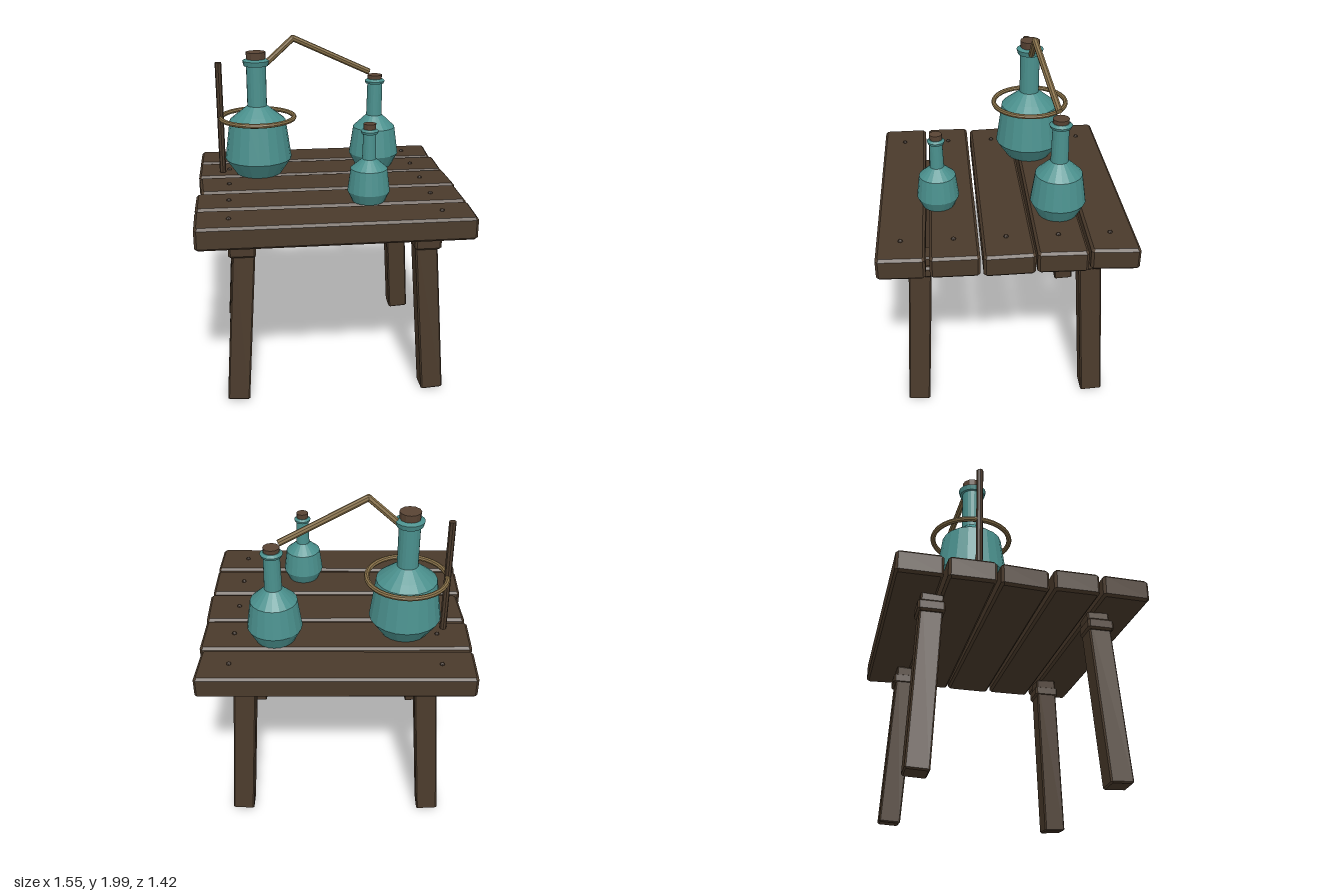
import * as THREE from 'three';

const material = (name, color, flatShading = true) =>
  Object.assign(new THREE.MeshStandardMaterial({ color, flatShading }), { name });

export function createModel() {
  const model = new THREE.Group();
  model.name = 'alchemyTable';
  const wood = material('dark wood', 0x4a3a2b);
  const glass = material('teal glass', 0x4a908d);
  const brass = material('brass', 0x877048);
  const cork = material('cork', 0x594434);
  const iron = material('dark iron', 0x3e3127);

  const add = (name, geometry, mat, x = 0, y = 0, z = 0, parent = model) => {
    const mesh = new THREE.Mesh(geometry, mat);
    mesh.name = name;
    mesh.position.set(x, y, z);
    parent.add(mesh);
    return mesh;
  };

  // Bevelled slab standing on y = 0, from four [x, z] corners with clipped tips
  const slab = (corners, height, bevel) => {
    const points = [];
    corners.forEach((corner, i) => {
      const p = new THREE.Vector2(corner[0], -corner[1]);
      for (const j of [(i + 3) % 4, (i + 1) % 4]) {
        const toward = new THREE.Vector2(corners[j][0], -corners[j][1]).sub(p).setLength(bevel);
        points.push(p.clone().add(toward));
      }
    });
    return new THREE.ExtrudeGeometry(new THREE.Shape(points), {
      depth: height - 2 * bevel, bevelEnabled: true, bevelThickness: bevel,
      bevelSize: bevel, bevelOffset: -bevel, bevelSegments: 1,
    }).translate(0, 0, bevel).rotateX(-Math.PI / 2);
  };
  const square = (w) => [[-w / 2, -w / 2], [w / 2, -w / 2], [w / 2, w / 2], [-w / 2, w / 2]];

  // Uneven table planks, each with two nails
  const planks = [
    [[-0.775, -0.705], [0.765, -0.712], [0.75, -0.445], [-0.775, -0.447]],
    [[-0.775, -0.425], [0.767, -0.432], [0.76, -0.155], [-0.775, -0.16]],
    [[-0.768, -0.137], [0.765, -0.147], [0.772, 0.134], [-0.75, 0.136]],
    [[-0.775, 0.157], [0.763, 0.15], [0.763, 0.42], [-0.775, 0.417]],
    [[-0.775, 0.437], [0.765, 0.441], [0.757, 0.705], [-0.77, 0.707]],
  ];
  const nail = new THREE.SphereGeometry(0.014, 8, 4, 0, Math.PI * 2, 0, Math.PI / 2);
  planks.forEach((corners, i) => {
    add('plank', slab(corners, 0.13, 0.014), wood, 0, 1.017, 0);
    for (const x of [-0.587, 0.583]) add('nail', nail, iron, x, 1.146, (i - 2) * 0.287);
  });

  // Splayed legs with a collar near the top
  for (const sx of [-1, 1]) {
    for (const sz of [-1, 1]) {
      const bottom = new THREE.Vector3(sx * 0.573, 0.012, sz * 0.527);
      const top = new THREE.Vector3(sx * 0.507, 1.018, sz * 0.473);
      const axis = top.clone().sub(bottom);
      const leg = add('leg', slab(square(0.128), axis.length(), 0.008), wood, ...bottom);
      leg.quaternion.setFromUnitVectors(new THREE.Vector3(0, 1, 0), axis.normalize());
      add('legCollar', slab(square(0.153), 0.068, 0.012), wood, sx * 0.522, 0.902, sz * 0.48);
    }
  }

  // Flasks: base radius, belly, shoulder, neck, rim and cork
  const flask = (x, z, profile, corkRadius, corkBottom, corkTop) => {
    const group = new THREE.Group();
    group.name = 'flask';
    group.position.set(x, 0, z);
    model.add(group);
    const points = profile.map(([r, y]) => new THREE.Vector2(r, y));
    add('flaskBody', new THREE.LatheGeometry(points, 20), glass, 0, 0, 0, group);
    const height = corkTop - corkBottom;
    add('cork', new THREE.CylinderGeometry(corkRadius, corkRadius * 0.93, height, 12),
      cork, 0, corkBottom + height / 2, 0, group);
  };
  flask(-0.4, -0.228, [[0, 1.147], [0.14, 1.147], [0.207, 1.245], [0.173, 1.485], [0.13, 1.52], [0.06, 1.575],
    [0.06, 1.82], [0.074, 1.82], [0.082, 1.85], [0.06, 1.86], [0, 1.86]], 0.06, 1.84, 1.902);
  flask(0.343, -0.315, [[0, 1.147], [0.115, 1.147], [0.158, 1.23], [0.133, 1.4], [0.05, 1.478],
    [0.046, 1.68], [0.057, 1.68], [0.063, 1.695], [0.047, 1.708], [0, 1.708]], 0.046, 1.69, 1.732);
  flask(0.205, 0.362, [[0, 1.147], [0.092, 1.147], [0.121, 1.208], [0.104, 1.34], [0.04, 1.395],
    [0.036, 1.54], [0.045, 1.54], [0.05, 1.555], [0.037, 1.566], [0, 1.566]], 0.036, 1.55, 1.596);

  // Stand rod with a ring around the large flask
  add('standRod', new THREE.CylinderGeometry(0.02, 0.02, 0.69, 8), wood, -0.627, 1.497, -0.23);
  add('standRing', new THREE.TorusGeometry(0.226, 0.015, 8, 32).rotateX(Math.PI / 2), brass, -0.4, 1.5, -0.232);

  // Bent pipe joining the two back flasks
  const bend = [[-0.335, 1.835, -0.229], [-0.175, 1.98, -0.229], [0.303, 1.753, -0.309]]
    .map((p) => new THREE.Vector3(...p));
  for (let i = 0; i < 2; i++) {
    const run = new THREE.LineCurve3(bend[i], bend[i + 1]);
    const axis = bend[i + 1].clone().sub(bend[i]);
    const pipe = add('pipe', new THREE.CylinderGeometry(0.019, 0.019, axis.length(), 8), brass, ...run.getPoint(0.5));
    pipe.quaternion.setFromUnitVectors(new THREE.Vector3(0, 1, 0), axis.normalize());
  }
  add('pipeElbow', new THREE.SphereGeometry(0.019, 8, 6), brass, ...bend[1]);

  return model;
}
